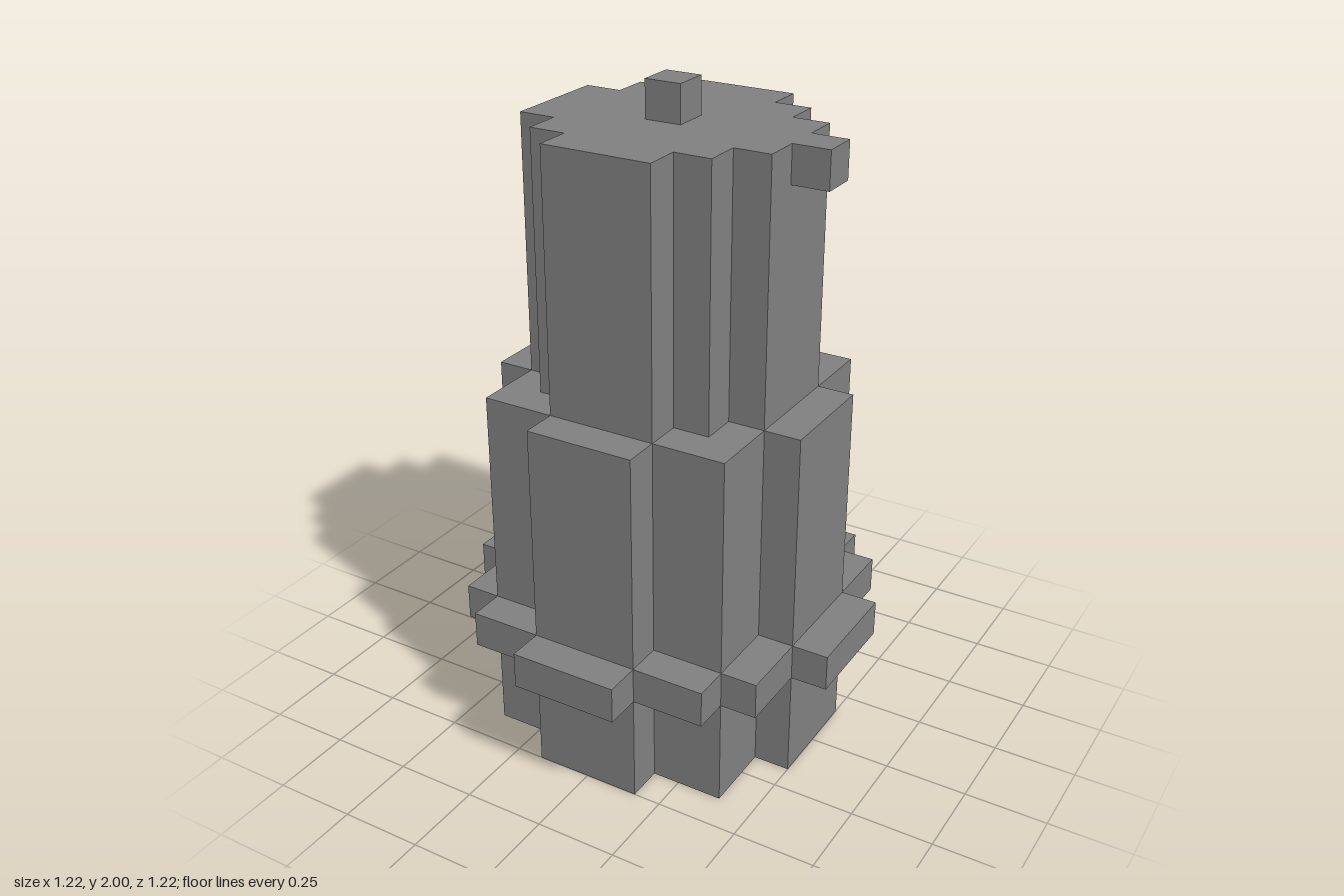
import * as THREE from 'three';

const U = 1 / 9; // one block

// Stepped round footprint: one quadrant's corners (in blocks) mirrored into all four
function footprint(quadrant) {
  const back = [...quadrant].reverse();
  const points = [
    ...quadrant,
    ...back.map(([x, y]) => [-x, y]),
    ...quadrant.map(([x, y]) => [-x, -y]),
    ...back.map(([x, y]) => [x, -y]),
  ];
  return new THREE.Shape(points.map(([x, y]) => new THREE.Vector2(x * U, y * U)));
}

export function createModel() {
  const group = new THREE.Group();
  const grey = new THREE.MeshStandardMaterial({ color: 0x808080 });
  grey.name = 'grey';

  const add = (name, geometry, x, y, z) => {
    const mesh = new THREE.Mesh(geometry, grey);
    mesh.name = name;
    mesh.position.set(x * U, y * U, z * U);
    group.add(mesh);
  };

  // Upright prism from block row y0 to y1
  const prism = (name, quadrant, y0, y1) => {
    const geometry = new THREE.ExtrudeGeometry(footprint(quadrant), {
      depth: (y1 - y0) * U, bevelEnabled: false,
    });
    geometry.rotateX(-Math.PI / 2);
    add(name, geometry, 0, y0, 0);
  };

  // Body, collar and narrower upper section
  prism('body', [[4.5, 1.5], [3.5, 1.5], [3.5, 3.5], [1.5, 3.5], [1.5, 4.5]], 0, 10);
  prism('collar', [[5.5, 1.5], [4.5, 1.5], [4.5, 3.5], [3.5, 3.5], [3.5, 4.5], [1.5, 4.5], [1.5, 5.5]], 3, 4);
  prism('upperSection', [[3.5, 1.5], [2.5, 1.5], [2.5, 2.5], [1.5, 2.5], [1.5, 3.5]], 10, 17);

  // Single blocks on the top and the side
  add('topKnob', new THREE.BoxGeometry(U, U, U), 0, 17.5, 0);
  add('sideKnob', new THREE.BoxGeometry(U, U, U), 4, 16.5, 0);

  return group;
}
